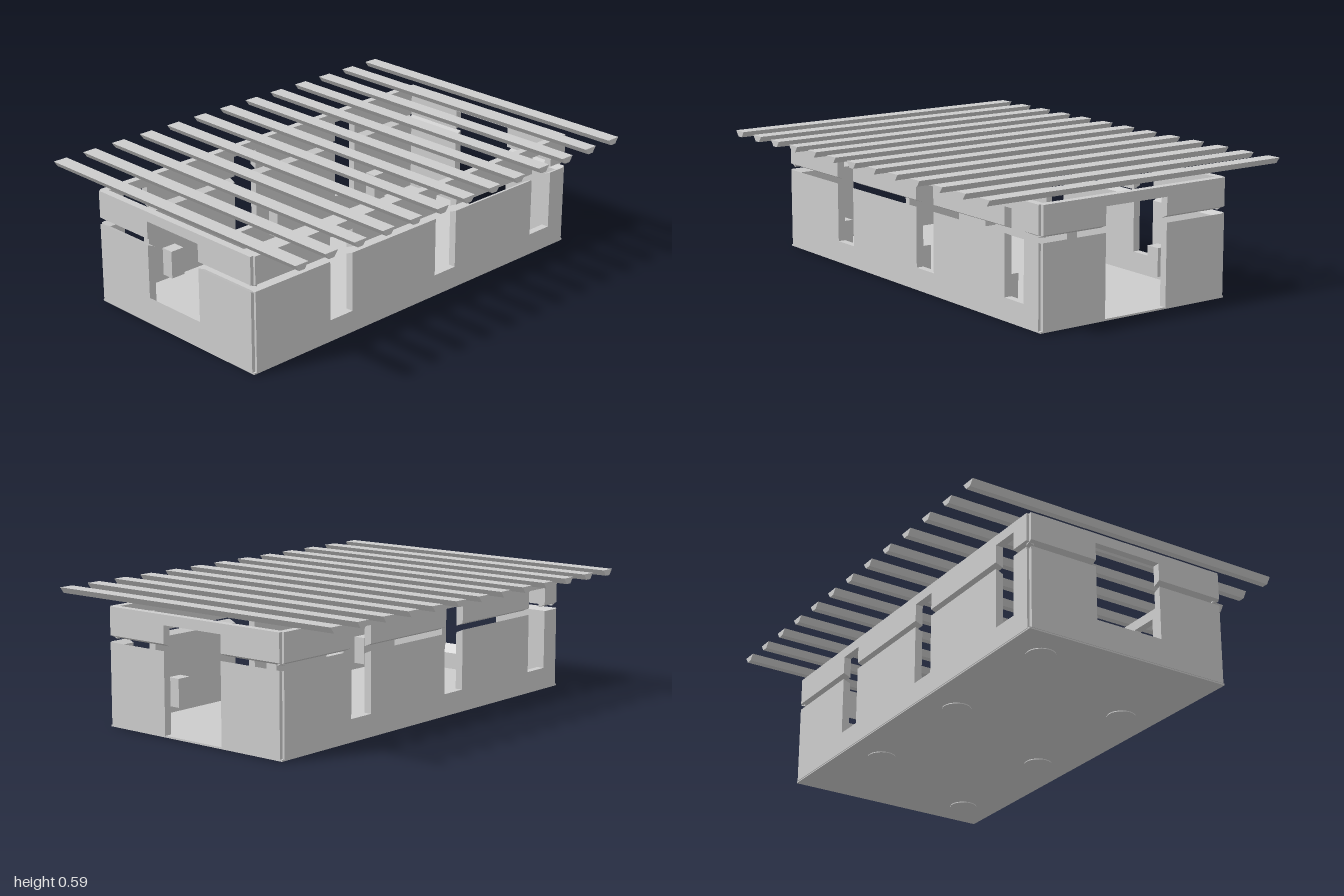
import * as THREE from 'three';

const material = new THREE.MeshStandardMaterial({ color: 0xcccccc, flatShading: true });

// Extrudes a cross-section [outward, up] along local z from a to b
function prism(name, points, a, b) {
  const shape = new THREE.Shape(points.map(([x, y]) => new THREE.Vector2(x, y)));
  const geometry = new THREE.ExtrudeGeometry(shape, { depth: b - a, bevelEnabled: false });
  geometry.translate(0, 0, a);
  const mesh = new THREE.Mesh(geometry, material);
  mesh.name = name;
  return mesh;
}

const T = 0.035; // wall thickness
const BASE = 0.01;
// Wall cross-section between two heights, with separate heights at the inner face
const section = (y0, y1, in0 = y0, in1 = y1) => [[-T, in0], [0, y0], [0, y1], [-T, in1]];
const LOWER = section(BASE, 0.375, BASE, 0.36);
const UPPER = section(0.405, 0.53, 0.39, 0.53);
const LINTEL = section(0.485, 0.53);

// One side of the building: solid runs split by openings, with a viewing slit all along
function wall(name, angle, distance, half, openings, sill) {
  const group = new THREE.Group();
  group.name = name;
  let start = -half;
  const solid = (a, b) => {
    group.add(prism('lowerWall', LOWER, a, b), prism('upperWall', UPPER, a, b));
  };
  for (const [a, b] of openings) {
    solid(start, a);
    group.add(prism('lintel', LINTEL, a, b));
    if (sill) group.add(prism('sill', sill, a, b));
    start = b;
  }
  solid(start, half);
  group.rotation.y = angle;
  const out = new THREE.Vector3(distance, 0, 0).applyAxisAngle(new THREE.Vector3(0, 1, 0), angle);
  group.position.copy(out);
  return group;
}

export function createModel() {
  const model = new THREE.Group();
  model.name = 'bunker';

  const building = new THREE.Group();
  building.name = 'building';
  building.position.set(-0.005, 0, 0.005);
  model.add(building);

  // Floor slab
  const floor = new THREE.Mesh(new THREE.BoxGeometry(1.95, 0.008, 0.985), material);
  floor.name = 'floor';
  floor.position.y = 0.008;
  building.add(floor);

  // Long walls with three tall windows each, end walls with a doorway and a window
  const windows = [-0.8, -0.16, 0.48].map((c) => [c - 0.065, c + 0.065]);
  const windowSill = section(BASE, 0.105);
  building.add(
    wall('frontWall', -Math.PI / 2, 0.495, 0.962, windows, windowSill),
    wall('backWall', Math.PI / 2, 0.495, 0.962, windows, windowSill),
    wall('doorWall', 0, 0.978, 0.484, [[-0.163, 0.163]], null),
    wall('windowWall', Math.PI, 0.978, 0.484, [[-0.163, 0.163]], section(BASE, 0.13, BASE, 0.09)),
  );

  // Round pads under the floor and small boxes beside each window
  const pad = new THREE.CylinderGeometry(0.063, 0.063, 0.006, 24);
  const box = new THREE.BoxGeometry(0.07, 0.13, 0.06);
  for (const side of [1, -1]) {
    for (const x of [-0.48, 0.16, 0.8]) {
      const foot = new THREE.Mesh(pad, material);
      foot.name = 'floorPad';
      foot.position.set(side * x, 0.003, side * 0.32);
      const crate = new THREE.Mesh(box, material);
      crate.name = 'wallBox';
      crate.position.set(side * (x - 0.16), 0.115, side * 0.41);
      building.add(foot, crate);
    }
  }

  // Roof beams with a tapered underside
  const beamSection = [[-0.015, 0.56], [0.015, 0.56], [0.035, 0.587], [-0.035, 0.587]];
  for (let i = 0; i < 13; i++) {
    const beam = prism('roofBeam', beamSection, -0.77, 0.77);
    beam.position.x = -0.965 + (i * 1.93) / 12;
    model.add(beam);
  }
  return model;
}
